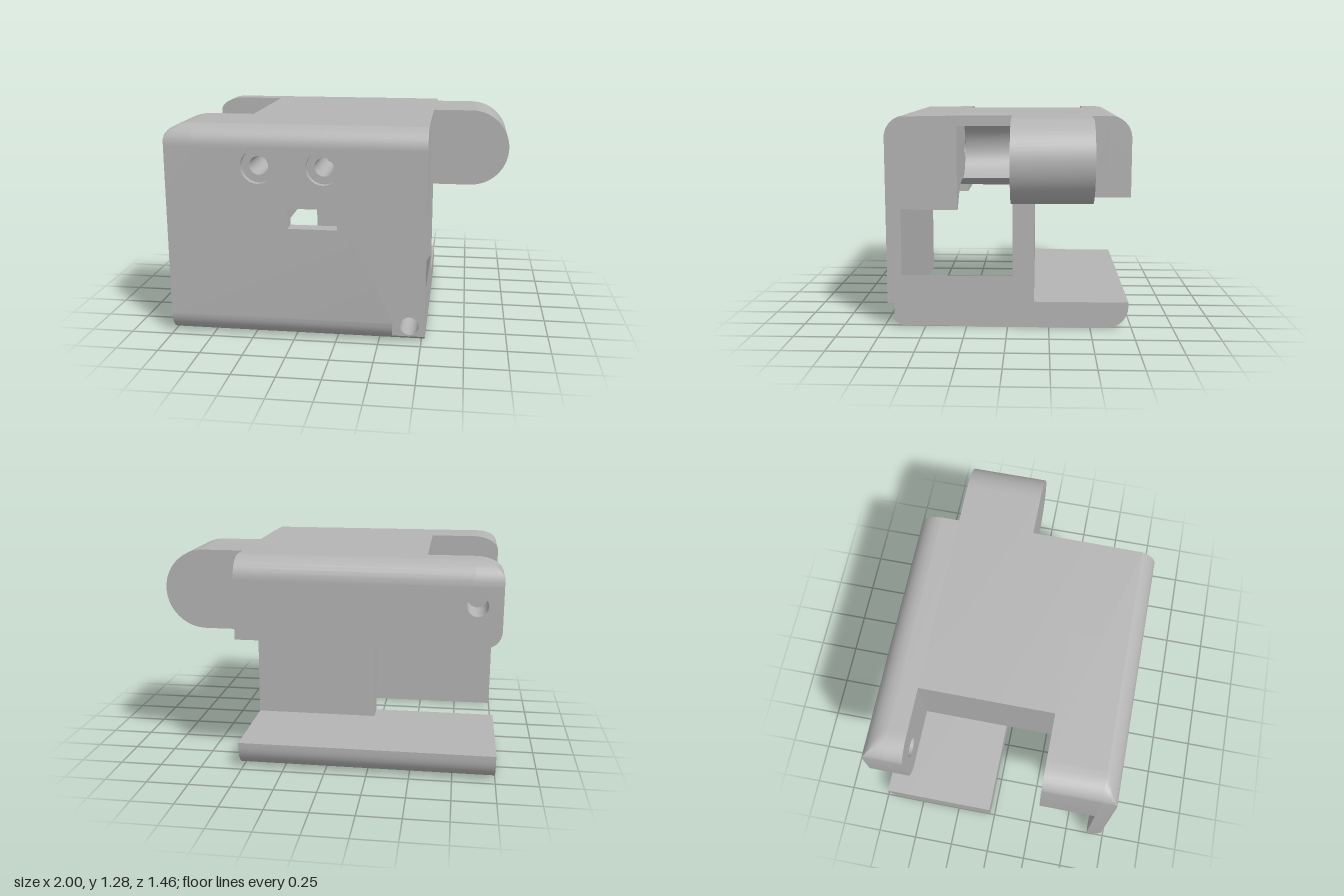
import * as THREE from 'three';
import { toCreasedNormals } from 'three/addons/utils/BufferGeometryUtils.js';

const TOP = 1.28, R = 0.13, FLAT = 0.6; // height, long-edge radius, where the rounding starts in z
const PULLEY = [0.17, 0.478, 0.384];    // pulley cavity: x, y, radius

// Height lost at the rounded long edges for a given depth
const cap = (z) => {
  const d = Math.min(Math.max(Math.abs(z) - FLAT, 0), R);
  return R - Math.sqrt(Math.max(R * R - d * d, 0));
};

// Points along an arc, angles in degrees
function arc(cx, cy, r, a0, a1, n = 20, ry = r) {
  return Array.from({ length: n + 1 }, (_, i) => {
    const a = THREE.MathUtils.degToRad(a0 + (a1 - a0) * i / n);
    return [cx + r * Math.cos(a), cy + ry * Math.sin(a)];
  });
}
const rect = (x0, y0, x1, y1) => [[x0, y0], [x1, y0], [x1, y1], [x0, y1]];
const vecs = (pts) => pts.map(([x, y]) => new THREE.Vector2(x, y));

export function createModel() {
  const group = new THREE.Group();
  const grey = new THREE.MeshStandardMaterial({ color: 0xb4b4b4 });
  grey.name = 'plainGrey';

  // Side profile extruded from z0 to z1, following the rounded long edges
  function layer(name, outline, z0, z1, holes = []) {
    const shape = new THREE.Shape(vecs(outline));
    for (const h of holes) shape.holes.push(new THREE.Path(vecs(h)));
    const rounded = Math.max(Math.abs(z0), Math.abs(z1)) > FLAT + 0.05;
    const geo = new THREE.ExtrudeGeometry(shape, { depth: 1, steps: rounded ? 8 : 1, bevelEnabled: false });
    const p = geo.attributes.position;
    const angle = (z) => Math.asin(THREE.MathUtils.clamp((Math.abs(z) - FLAT) / R, 0, 1));
    for (let i = 0; i < p.count; i++) {
      const t = p.getZ(i);
      let z = z0 + (z1 - z0) * t;
      if (rounded) {
        z = Math.sign(z0) * (FLAT + R * Math.sin(angle(z0) + (angle(z1) - angle(z0)) * t));
      }
      const c = cap(z);
      p.setZ(i, z);
      p.setY(i, THREE.MathUtils.clamp(p.getY(i), c, TOP - c));
    }
    geo.deleteAttribute('uv');
    const mesh = new THREE.Mesh(toCreasedNormals(geo, 0.6), grey);
    mesh.name = name;
    group.add(mesh);
  }

  const earTop = arc(-0.84, 1.19, 0.16, 90, 180, 8, 0.09);
  const screw = (x, y, r) => arc(x, y, r, 0, 345, 23);
  const slot = rect(-0.28, 0.68, 0.01, 0.8);
  const screwX = [-0.45, -0.07];

  // Front plate: outer skin with counterbores, inner skin with the narrow screw holes
  layer('frontPlateOuter',
    [[-1, 0], [0.33, 0], [0.33, 0.1], ...arc(0.43, 0.1, 0.1, 180, 25), [0.52, TOP], ...earTop],
    0.69, 0.73, [...screwX.map((x) => screw(x, 1.04, 0.1)), slot]);
  layer('frontPlateInner', [[-1, 0], [0.52, 0], [0.52, TOP], ...earTop],
    0.64, 0.69, [...screwX.map((x) => screw(x, 1.04, 0.055)), slot, screw(0.43, 0.1, 0.055)]);

  // Upper front block and front ear, cut by the slot and the pulley cavity
  layer('upperFrontBlock',
    [[-1, 0.72], [-0.28, 0.72], [-0.28, 0.8], ...arc(...PULLEY, 123, 39), [0.52, 0.72], [0.52, TOP], ...earTop],
    0.3, 0.64, screwX.map((x) => screw(x, 1.04, 0.055)));

  // Middle block with the rounded recess beside the hinge knob
  layer('middleBlock',
    [[-0.57, 0.8], ...arc(...PULLEY, 123, 101, 8), ...arc(0.1, 1.04, 0.18, 270, 90), [0.52, 1.22], [0.52, TOP], [-0.57, TOP]],
    -0.03, 0.3);

  // Floor with the round trough under the pulley
  layer('floor', [[-0.06, 0], [0.52, 0], ...arc(...PULLEY, -24.3, -126.8)],
    -0.03, 0.64, [screw(0.43, 0.1, 0.055)]);

  // Inner wall between floor and top
  layer('innerWall', rect(-0.24, 0.16, 0.52, 0.8), -0.16, -0.03);

  // Top bar ending in the hinge knob
  layer('hingeKnob', [[-0.57, 0.8], ...arc(0.76, 1.04, 0.24, -90, 90, 28), [-0.57, TOP]], -0.49, -0.03);

  // Back rail with the hinge ear, and the long base slab
  const earBottom = arc(-0.9, 0.9, 0.1, 180, 270, 8);
  for (const [z0, z1] of [[-FLAT, -0.49], [-0.73, -FLAT]]) {
    layer('backRail', [...earBottom, [0.52, 0.8], [0.52, TOP], ...earTop], z0, z1, [screw(-0.86, 1.04, 0.06)]);
  }
  for (const [z0, z1] of [[-FLAT, -0.03], [-0.73, -FLAT]]) {
    layer('baseSlab', rect(-1, 0, 0.52, 0.16), z0, z1);
  }
  return group;
}
